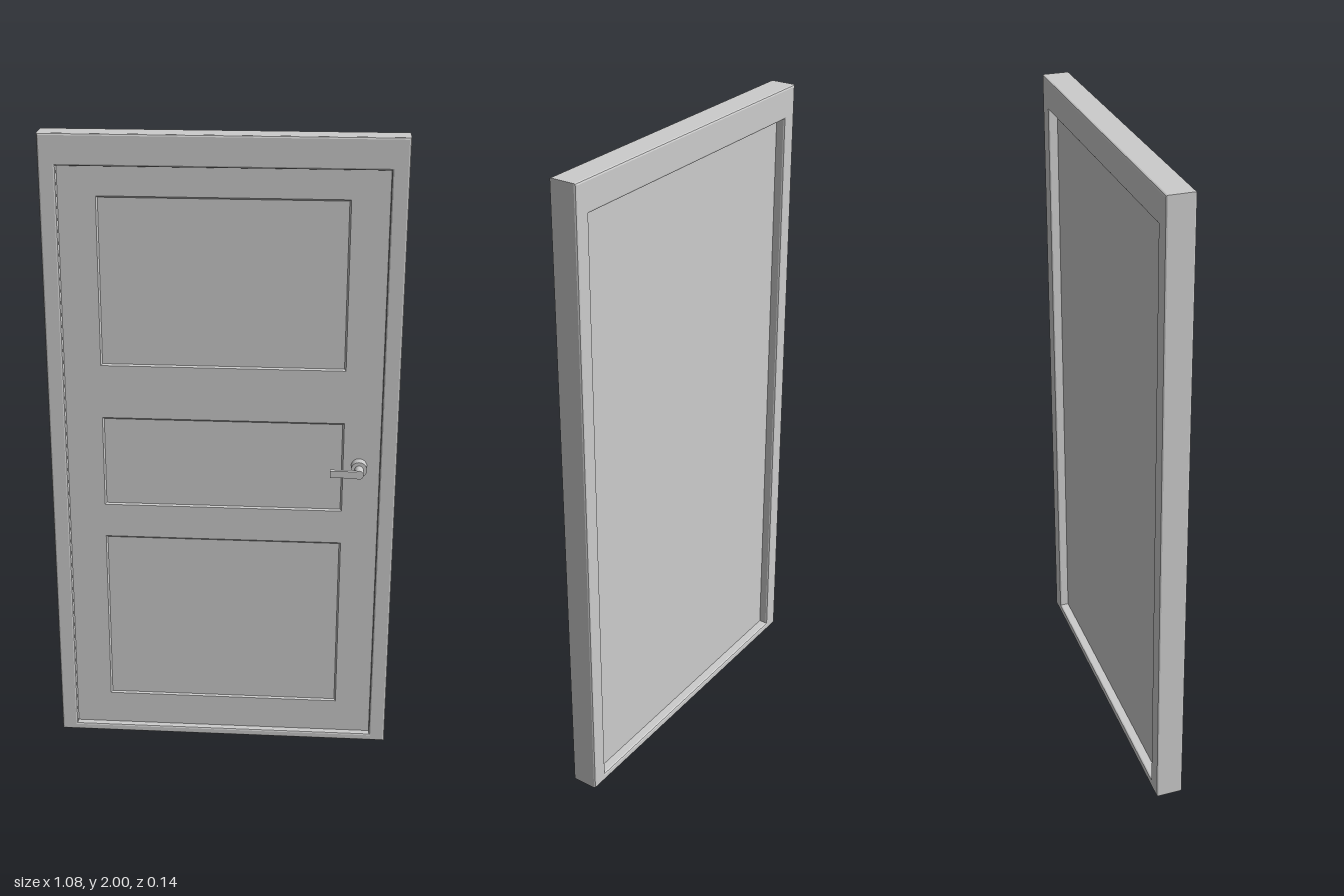
import * as THREE from 'three';

const grey = new THREE.MeshStandardMaterial({ color: 0xcccccc });

function add(parent, name, geometry, x = 0, y = 0, z = 0) {
  const mesh = new THREE.Mesh(geometry, grey);
  mesh.name = name;
  mesh.position.set(x, y, z);
  parent.add(mesh);
  return mesh;
}

function rect(Type, x, y0, y1) {
  return new Type([[-x, y0], [x, y0], [x, y1], [-x, y1]].map(p => new THREE.Vector2(...p)));
}

// Plate with rectangular openings, running from z0 to z1 with softened edges
function plate(outer, holes, z0, z1, bevel, segments) {
  const shape = rect(THREE.Shape, ...outer);
  shape.holes = holes.map(h => rect(THREE.Path, ...h));
  return new THREE.ExtrudeGeometry(shape, {
    depth: z1 - z0 - 2 * bevel,
    bevelThickness: bevel, bevelSize: bevel, bevelOffset: -bevel, bevelSegments: segments,
  }).translate(0, 0, z0 + bevel);
}

export function createModel() {
  const door = new THREE.Group();
  door.name = 'door';

  // Frame with jambs, head and low sill
  add(door, 'frame', plate([0.54, 0, 2], [[0.488, 0.025, 1.905]], -0.073, 0.013, 0.006, 2));

  // Leaf: flat back board and a front face with three sunken panels
  const leaf = new THREE.Group();
  leaf.name = 'leaf';
  door.add(leaf);
  add(leaf, 'backBoard', new THREE.BoxGeometry(0.99, 1.89, 0.031), 0, 0.965, -0.0275);
  const panels = [[0.37, 0.14, 0.71], [0.37, 0.83, 1.115], [0.37, 1.295, 1.81]];
  add(leaf, 'panelledFace', plate([0.498, 0.015, 1.915], panels, -0.03, -0.007, 0.005, 1));

  // Handle: rose, spindle and lever pointing away from the jamb
  const handle = new THREE.Group();
  handle.name = 'handle';
  handle.position.set(0.424, 0.98, 0);
  door.add(handle);
  const round = (r, depth) => new THREE.CylinderGeometry(r, r, depth, 24).rotateX(Math.PI / 2);
  add(handle, 'rose', round(0.025, 0.034), 0, 0, 0.008);
  add(handle, 'spindle', round(0.014, 0.052), 0, 0, 0.041);
  add(handle, 'lever', new THREE.BoxGeometry(0.089, 0.022, 0.013), -0.0445, 0, 0.06);

  return door;
}
